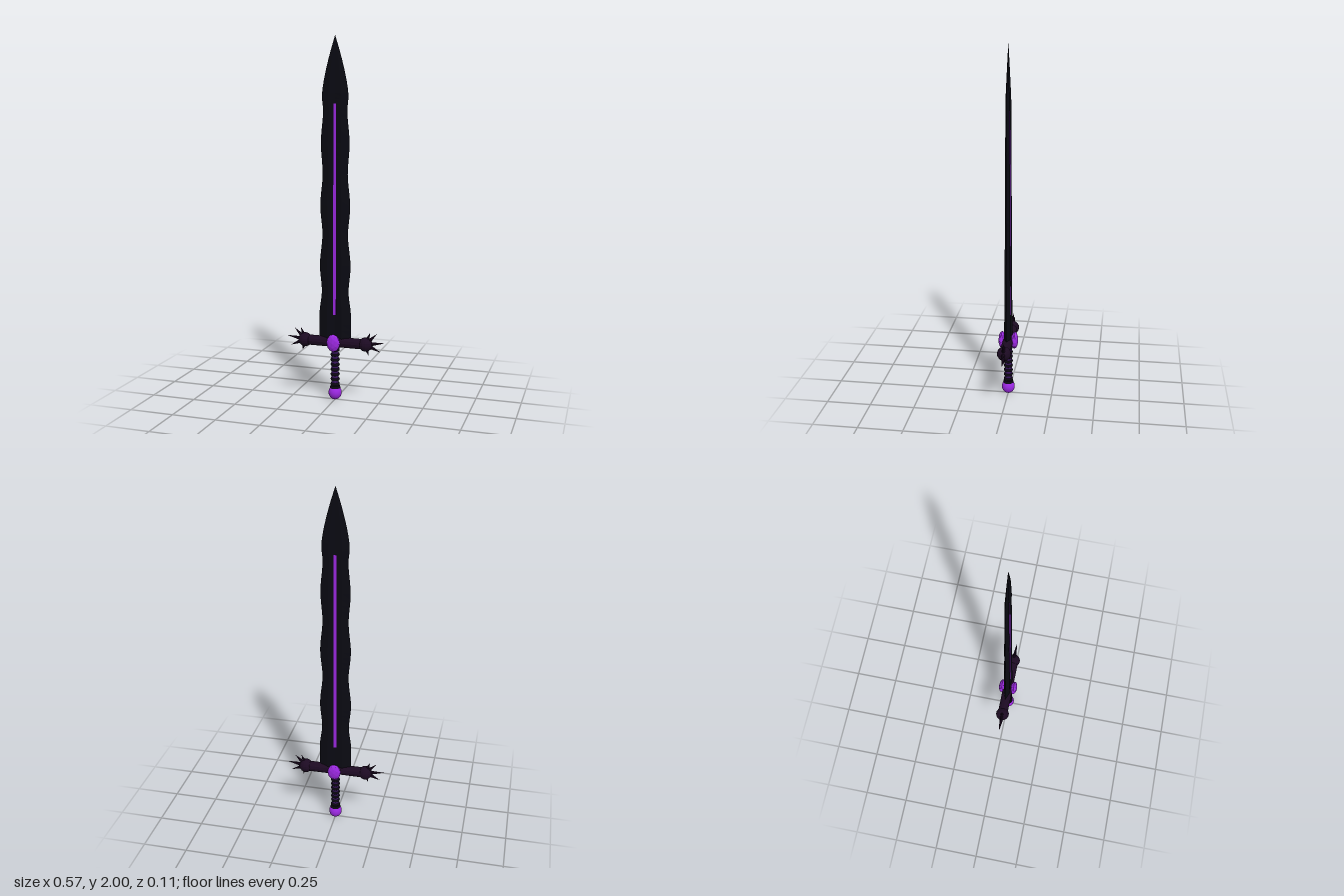
import * as THREE from 'three';

const mat = (color, flatShading = false) => new THREE.MeshStandardMaterial({ color, flatShading });
const steel = mat(0x0a0a12, true);
const iron = mat(0x1c0a22, true);
const gripDark = mat(0x0c0812);
const gripCore = mat(0x3a1660);
const purple = mat(0x9a28e0);
const crystal = mat(0x9a28e0, true);

const GUARD_Y = 0.33;

function add(parent, name, geometry, material, x = 0, y = 0, z = 0) {
  const mesh = new THREE.Mesh(geometry, material);
  mesh.name = name;
  mesh.position.set(x, y, z);
  parent.add(mesh);
  return mesh;
}

// Half thickness of the blade at height y
function thickness(y) {
  if (y < 1.7) return THREE.MathUtils.mapLinear(y, 0.33, 1.7, 0.018, 0.0105);
  return Math.max(0, 0.0105 * (2 - y) / 0.3);
}

// Wavy blade lofted from eight-sided sections with a hollow along the middle
function bladeGeometry() {
  const outline = new THREE.CatmullRomCurve3([
    [0.09, 0.33], [0.09, 0.5], [0.077, 0.61], [0.088, 0.76], [0.073, 0.93], [0.085, 1.09],
    [0.071, 1.26], [0.081, 1.43], [0.068, 1.6], [0.074, 1.68], [0.064, 1.76],
    [0.036, 1.88], [0, 2],
  ].map(([w, y]) => new THREE.Vector3(w, y, 0)));
  const section = [[1, 0], [0.47, 1], [0, 0.6], [-0.47, 1], [-1, 0], [-0.47, -1], [0, -0.6], [0.47, -1]];
  const rows = 60, n = section.length;
  const rings = outline.getPoints(rows).map((p) =>
    section.map(([sx, sz]) => [sx * Math.max(p.x, 0), p.y, sz * thickness(p.y)]));
  const pos = [];
  const tri = (a, b, c) => pos.push(...a, ...b, ...c);
  for (let i = 0; i < rows; i++) {
    for (let j = 0; j < n; j++) {
      const k = (j + 1) % n;
      const a = rings[i][j], b = rings[i][k], c = rings[i + 1][k], d = rings[i + 1][j];
      tri(a, c, b);
      if (i < rows - 1) tri(a, d, c);
    }
  }
  // bottom cap
  for (let j = 0; j < n; j++) tri([0, 0.33, 0], rings[0][j], rings[0][(j + 1) % n]);
  const geo = new THREE.BufferGeometry();
  geo.setAttribute('position', new THREE.Float32BufferAttribute(pos, 3));
  geo.computeVertexNormals();
  return geo;
}

// Glowing strip that follows the hollow on both faces
function stripGeometry() {
  const geo = new THREE.BoxGeometry(0.015, 1.155, 2);
  geo.translate(0, 1.0625, 0);
  const p = geo.attributes.position;
  for (let i = 0; i < p.count; i++) {
    p.setZ(i, Math.sign(p.getZ(i)) * (0.7 * thickness(p.getY(i)) + 0.001));
  }
  geo.computeVertexNormals();
  return geo;
}

function createGuard() {
  const guard = new THREE.Group();
  guard.name = 'guard';
  guard.position.y = GUARD_Y;
  add(guard, 'crossbar', new THREE.CylinderGeometry(0.029, 0.029, 0.34, 12), iron).rotation.z = Math.PI / 2;

  // Knob and fan of spikes at each end: [angle in degrees, reach]
  const spikes = [[69, 0.073], [45, 0.09], [8, 0.111], [-24, 0.094], [-75, 0.062]];
  for (const side of [-1, 1]) {
    const end = new THREE.Group();
    end.name = side > 0 ? 'leftEnd' : 'rightEnd';
    end.position.x = side * 0.175;
    if (side < 0) end.rotation.y = Math.PI;
    guard.add(end);
    add(end, 'knob', new THREE.SphereGeometry(0.039, 14, 10), iron);
    for (const [deg, reach] of spikes) {
      const a = THREE.MathUtils.degToRad(deg);
      const base = 0.025, len = reach - base;
      const mid = base + len / 2;
      const spike = add(end, 'spike', new THREE.ConeGeometry(0.012, len, 8), iron,
        Math.cos(a) * mid, Math.sin(a) * mid, 0);
      spike.rotation.z = a - Math.PI / 2;
    }
  }

  // Faceted gem on the front and back
  for (const side of [-1, 1]) {
    const gem = add(guard, side > 0 ? 'frontGem' : 'backGem',
      new THREE.IcosahedronGeometry(1, 1), crystal, 0, 0.002, side * 0.036);
    gem.scale.set(0.039, 0.05, 0.02);
  }
  return guard;
}

function createHandle() {
  const handle = new THREE.Group();
  handle.name = 'handle';
  add(handle, 'gripCore', new THREE.CylinderGeometry(0.02, 0.02, 0.25, 16), gripCore, 0, 0.19, 0);
  const count = 8;
  for (let i = 0; i < count; i++) {
    const ring = add(handle, 'gripRing', new THREE.TorusGeometry(0.017, 0.009, 8, 20), gripDark,
      0, 0.09 + i * 0.028, 0);
    ring.rotation.x = Math.PI / 2;
  }
  add(handle, 'pommelCollar', new THREE.CylinderGeometry(0.026, 0.03, 0.014, 16), gripDark, 0, 0.074, 0);
  add(handle, 'pommel', new THREE.SphereGeometry(0.037, 20, 14), purple, 0, 0.04, 0).scale.y = 1.08;
  return handle;
}

export function createModel() {
  const sword = new THREE.Group();
  sword.name = 'sword';
  add(sword, 'blade', bladeGeometry(), steel);
  add(sword, 'bladeStrip', stripGeometry(), purple);
  sword.add(createGuard(), createHandle());
  return sword;
}
